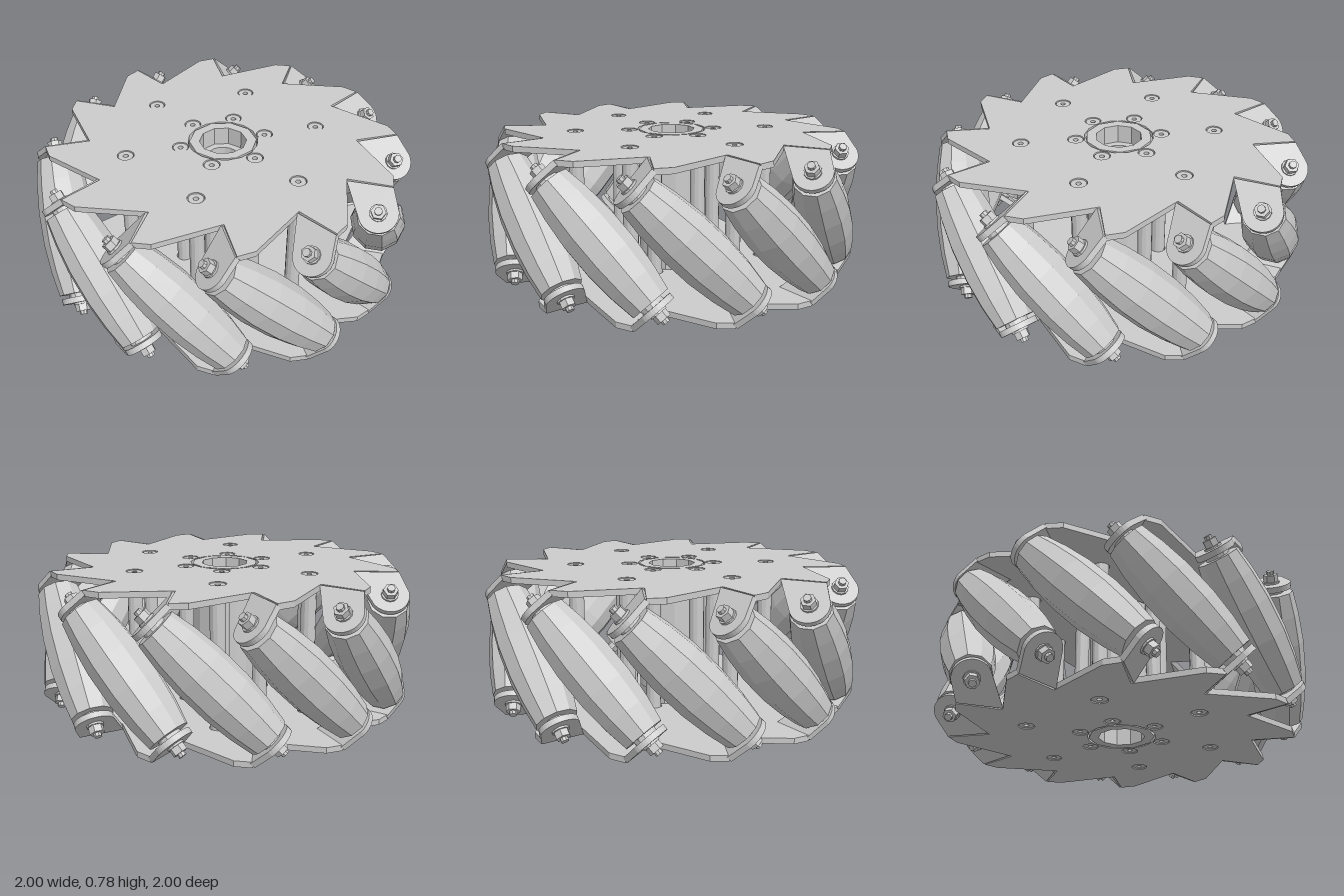
import * as THREE from 'three';

const COUNT = 12;          // rollers around the wheel
const MID = 0.39;          // half height
const AXIS_R = 0.856;      // distance from wheel axle to roller axle
const PLATE = 0.03;        // sheet thickness

const mat = new THREE.MeshStandardMaterial({ color: 0xcccccc, flatShading: true });

function add(parent, name, geometry, y = 0) {
  const mesh = new THREE.Mesh(geometry, mat);
  mesh.name = name;
  mesh.position.y = y;
  parent.add(mesh);
  return mesh;
}

// Extrude a shape drawn in x/z so that its top lies at y = 0
function slab(shape, depth) {
  const g = new THREE.ExtrudeGeometry(shape, { depth, bevelEnabled: false, curveSegments: 8 });
  return g.rotateX(Math.PI / 2);
}

function circlePath(r, x = 0, y = 0) {
  return new THREE.Path().absarc(x, y, r, 0, Math.PI * 2, true);
}

// Hollow cylinder centred on y = 0
function ring(inner, outer, height, sides) {
  const h = height / 2;
  const pts = [[inner, -h], [outer, -h], [outer, h], [inner, h], [inner, -h]];
  return new THREE.LatheGeometry(pts.map(p => new THREE.Vector2(...p)), sides);
}

// Six hole positions on a circle, with one on the z axis
function hexPoints(r) {
  return Array.from({ length: 6 }, (_, i) => {
    const a = i * Math.PI / 3;
    return [r * Math.sin(a), r * Math.cos(a)];
  });
}

// Saw-toothed side plate
function plateGeometry() {
  const tooth = [[-0.10, 0.90], [-0.19, 0.91], [-0.185, 0.68]];
  const pts = [];
  for (let i = 0; i < COUNT; i++) {
    const a = i * Math.PI * 2 / COUNT;
    for (const p of tooth) {
      pts.push(new THREE.Vector2(...p).rotateAround(new THREE.Vector2(), a));
    }
  }
  const shape = new THREE.Shape(pts);
  shape.holes.push(circlePath(0.185));
  for (const r of [0.52, 0.23]) {
    for (const [x, z] of hexPoints(r)) shape.holes.push(circlePath(0.044, x, z));
  }
  return slab(shape, PLATE);
}

// Bent ear that carries a roller axle: wide at the fold, round at the tip
function earGeometry() {
  const s = new THREE.Shape();
  s.moveTo(0.135, 0.055);
  s.lineTo(0.02, 0.098);
  s.absarc(0, 0, 0.1, Math.PI * 0.44, Math.PI * 1.32, false);
  s.lineTo(0.135, -0.176);
  s.closePath();
  return slab(s, PLATE);
}

// Barrel whose outline follows the wheel's outer circle
function rollerGeometry() {
  const half = 0.365;
  const pts = [new THREE.Vector2(0, -half)];
  for (const s of [-half, -0.24, -0.09, 0.09, 0.24, half]) {
    pts.push(new THREE.Vector2(1.002 - Math.hypot(AXIS_R, s * Math.SQRT1_2), s));
  }
  pts.push(new THREE.Vector2(0, half));
  return new THREE.LatheGeometry(pts, 10);
}

export function createModel() {
  const wheel = new THREE.Group();
  wheel.name = 'rollerWheel';

  // Side plates, the lower one flipped over
  const plate = plateGeometry();
  for (const side of ['top', 'bottom']) {
    const pivot = new THREE.Group();
    pivot.name = side + 'Side';
    pivot.position.y = MID;
    pivot.rotation.z = side === 'top' ? 0 : Math.PI;
    add(pivot, 'sidePlate', plate, MID);
    add(pivot, 'hubCollar', ring(0.125, 0.178, 0.1, 10), MID - 0.05);
    wheel.add(pivot);
  }

  // Hub core with keyed bore
  const core = new THREE.Shape().absarc(0, 0, 0.178, 0, Math.PI * 2, false);
  const bore = new THREE.Path();
  bore.absarc(0, 0, 0.085, 0.25, Math.PI * 2 - 0.25, false);
  bore.lineTo(0.105, -0.021);
  bore.lineTo(0.105, 0.021);
  bore.closePath();
  core.holes.push(bore);
  add(wheel, 'hubCore', slab(core, 2 * MID - 0.2), 2 * MID - 0.1);

  // Spacer posts and hub screws between the plates
  const post = ring(0.014, 0.04, 2 * MID - 0.008, 12);
  for (const [name, r] of [['spacerPost', 0.52], ['hubScrew', 0.23]]) {
    for (const [x, z] of hexPoints(r)) {
      const m = add(wheel, name, post, MID);
      m.position.x = x;
      m.position.z = z;
    }
  }

  // Slanted rollers with ears, collars and nuts at both ends
  const roller = rollerGeometry();
  const ear = earGeometry();
  const collar = new THREE.CylinderGeometry(0.06, 0.06, 0.03, 12);
  const washer = new THREE.CylinderGeometry(0.044, 0.044, 0.01, 12);
  const nut = new THREE.CylinderGeometry(0.038, 0.038, 0.036, 6);
  const stud = new THREE.CylinderGeometry(0.02, 0.02, 0.06, 8);
  for (let i = 0; i < COUNT; i++) {
    const arm = new THREE.Group();
    arm.name = 'rollerUnit';
    arm.rotation.y = i * Math.PI * 2 / COUNT;
    const axle = new THREE.Group();
    axle.name = 'rollerAxle';
    axle.position.set(0, MID, AXIS_R);
    axle.rotation.z = Math.PI / 4;
    add(axle, 'roller', roller);
    for (const turn of [0, Math.PI]) {
      const end = new THREE.Group();
      end.name = 'rollerEnd';
      end.rotation.z = turn;
      add(end, 'collar', collar, 0.375);
      add(end, 'ear', ear, 0.415);
      add(end, 'washer', washer, 0.42);
      add(end, 'nut', nut, 0.443);
      add(end, 'stud', stud, 0.45);
      axle.add(end);
    }
    arm.add(axle);
    wheel.add(arm);
  }
  return wheel;
}
